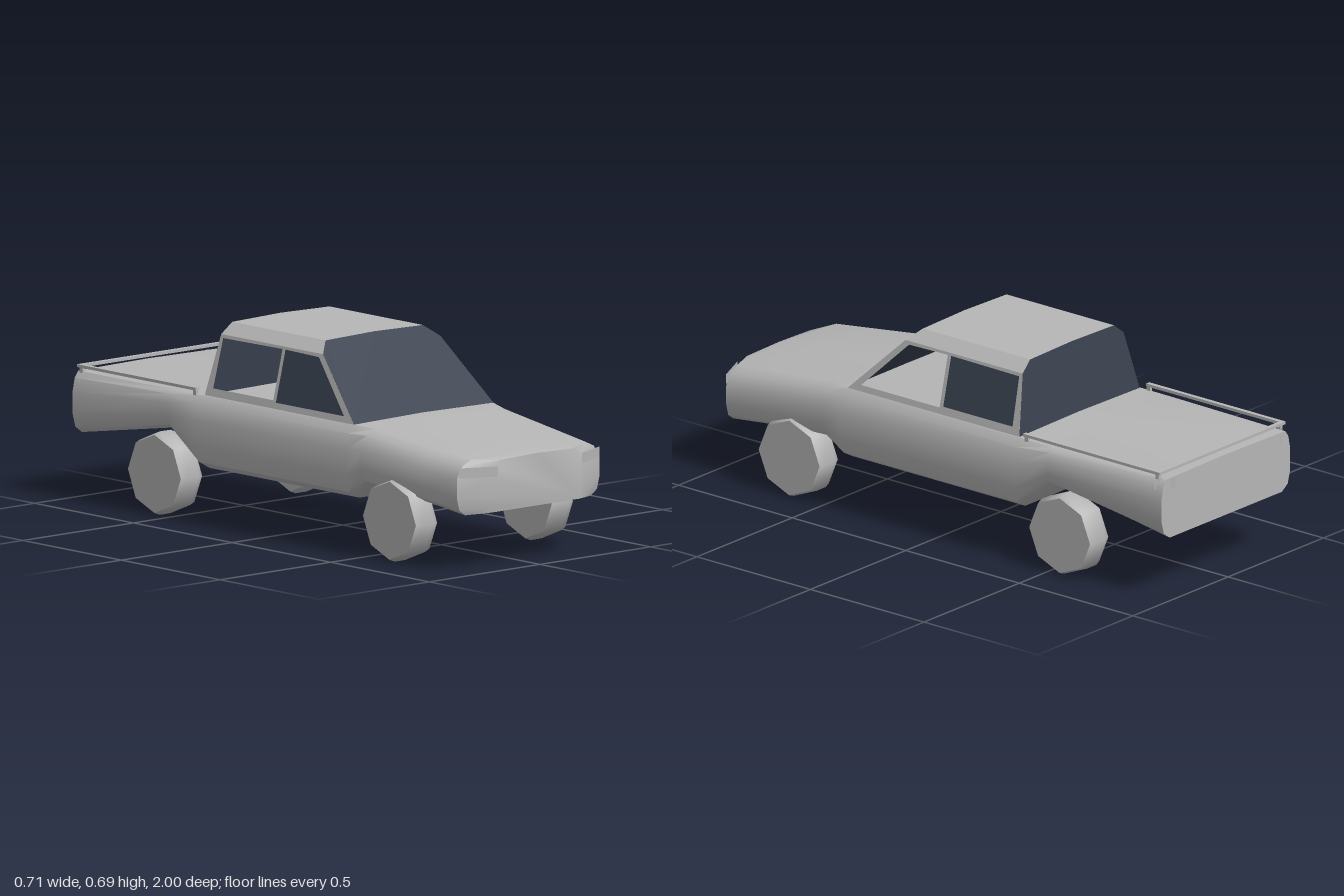
import * as THREE from 'three';
import { toCreasedNormals } from 'three/addons/utils/BufferGeometryUtils.js';

const paint = new THREE.MeshStandardMaterial({ color: 0xb6b6b6, side: THREE.DoubleSide });
paint.name = 'grey paint';
const glass = new THREE.MeshStandardMaterial({ color: 0x3a4250, side: THREE.DoubleSide });
glass.name = 'dark glass';

function add(parent, name, geometry, material = paint) {
  const mesh = new THREE.Mesh(geometry, material);
  mesh.name = name;
  parent.add(mesh);
  return mesh;
}

// Flat convex panel from its corners, counter-clockwise from outside
function panel(corners) {
  const g = new THREE.BufferGeometry();
  g.setAttribute('position', new THREE.Float32BufferAttribute(corners.flat(), 3));
  const index = [];
  for (let i = 1; i < corners.length - 1; i++) index.push(0, i, i + 1);
  g.setIndex(index);
  const flat = g.toNonIndexed();
  flat.computeVertexNormals();
  return flat;
}

// Closed cross-section of the body, counter-clockwise from the front
function section([z, yb, yt, wide, top, bottom]) {
  const h = yt - yb;
  const half = [
    [bottom, yb],
    [bottom + 0.7 * (wide - bottom), yb + 0.1 * h],
    [wide, yb + 0.32 * h],
    [wide, yb + 0.66 * h],
    [top + 0.62 * (wide - top), yb + 0.88 * h],
    [top, yt - 0.004],
  ];
  const left = half.map(([x, y]) => [x, y, z]);
  const right = half.map(([x, y]) => [-x, y, z]).reverse();
  return [...left, [0, yt, z], ...right];
}

function bodyGeometry() {
  // z, bottom, top, widest, top and bottom half widths
  const rings = [
    [0.98, 0.2, 0.38, 0.22, 0.165, 0.2],
    [0.94, 0.195, 0.388, 0.322, 0.255, 0.285],
    [0.78, 0.215, 0.404, 0.338, 0.27, 0.29],
    [0.49, 0.238, 0.436, 0.353, 0.29, 0.29],
    [0.41, 0.185, 0.442, 0.356, 0.315, 0.29],
    [-0.35, 0.185, 0.442, 0.356, 0.32, 0.29],
    [-0.5, 0.305, 0.441, 0.354, 0.32, 0.3],
    [-0.99, 0.222, 0.439, 0.338, 0.312, 0.295],
  ].map(section);
  const n = rings[0].length;
  const last = (rings.length - 1) * n;
  const index = [];
  for (let i = 0; i < rings.length - 1; i++) {
    for (let j = 0; j < n; j++) {
      const a = i * n + j, b = i * n + (j + 1) % n;
      index.push(a, a + n, b + n, a, b + n, b);
    }
  }
  for (let j = 1; j < n - 1; j++) {
    index.push(0, j, j + 1, last, last + j + 1, last + j);
  }
  const g = new THREE.BufferGeometry();
  g.setAttribute('position', new THREE.Float32BufferAttribute(rings.flat(2), 3));
  g.setIndex(index);
  return toCreasedNormals(g, 0.7);
}

// Lean a flat (z, y) shape onto the sloping side of the cab
function sideGeometry(shape, side) {
  const g = new THREE.ShapeGeometry(shape);
  const p = g.attributes.position;
  for (let i = 0; i < p.count; i++) {
    const z = p.getX(i), y = p.getY(i);
    p.setXYZ(i, side * (0.315 - (y - 0.44) * 0.244), y, z);
  }
  if (side > 0) g.index.array.reverse();
  g.computeVertexNormals();
  return g;
}

const outline = (pts) => pts.map(([z, y]) => new THREE.Vector2(z, y));

function buildCab() {
  const cab = new THREE.Group();
  cab.name = 'cab';
  // Windscreen and rear window: base, shoulder and roof corners
  const end = (zBase, zShoulder, zTop) => [
    [-0.315, 0.438, zBase], [0.315, 0.438, zBase], [0.265, 0.645, zShoulder],
    [0.22, 0.682, zTop], [0, 0.687, zTop], [-0.22, 0.682, zTop], [-0.265, 0.645, zShoulder],
  ];
  const front = end(0.41, 0.198, 0.16);
  const back = end(-0.345, -0.318, -0.313);
  add(cab, 'windscreen', panel(front), glass);
  add(cab, 'rear window', panel([...back].reverse()), glass);

  // Roof strips running from the windscreen to the rear window
  for (let i = 2; i < 6; i++) {
    add(cab, i === 2 || i === 5 ? 'roof edge' : 'roof',
      panel([front[i], back[i], back[i + 1], front[i + 1]]));
  }

  // Side frames with open windows
  const frontWindow = [[0.355, 0.459], [0.18, 0.633], [0.01, 0.636], [0.01, 0.459]];
  const rearWindow = [[-0.005, 0.465], [-0.005, 0.636], [-0.305, 0.633], [-0.31, 0.465]];
  for (const side of [1, -1]) {
    const frame = new THREE.Shape(outline([[0.41, 0.438], [0.198, 0.645], [-0.318, 0.645], [-0.345, 0.438]]));
    frame.holes.push(new THREE.Path(outline(frontWindow)), new THREE.Path(outline(rearWindow)));
    add(cab, 'side frame', sideGeometry(frame, side));
  }
  // One pane per side, the other window is left open
  add(cab, 'rear side pane', sideGeometry(new THREE.Shape(outline(rearWindow)), 1), glass);
  add(cab, 'front side pane', sideGeometry(new THREE.Shape(outline(frontWindow)), -1), glass);
  return cab;
}

function box(parent, name, size, at) {
  add(parent, name, new THREE.BoxGeometry(...size)).position.set(...at);
}

export function createModel() {
  const truck = new THREE.Group();
  truck.name = 'pickup truck';
  add(truck, 'body', bodyGeometry());
  truck.add(buildCab());

  // Eight-sided wheels with a slightly crowned tread
  const profile = [[0, -0.048], [0.134, -0.048], [0.143, -0.024], [0.143, 0.024], [0.134, 0.048], [0, 0.048]];
  const wheel = toCreasedNormals(
    new THREE.LatheGeometry(profile.map(([r, y]) => new THREE.Vector2(r, y)), 8), 0.9);
  wheel.rotateZ(-Math.PI / 2);

  const rails = new THREE.Group();
  rails.name = 'bed rails';
  truck.add(rails);
  for (const s of [1, -1]) {
    for (const z of [0.635, -0.556]) {
      add(truck, z > 0 ? 'front wheel' : 'rear wheel', wheel).position.set(s * 0.307, 0.144, z);
    }
    // Swept-back lamp plates on the corners
    const lamp = (x0, z0, x1, z1, y0, y1) => panel([
      [s * x0, y0, z0], [s * x1, y0, z1], [s * x1, y1, z1], [s * x0, y1, z0]]);
    add(truck, 'headlight', lamp(0.19, 1.0, 0.318, 0.945, 0.325, 0.36));
    add(truck, 'tail light', lamp(0.275, -1.0, 0.335, -0.958, 0.398, 0.435));
    // Side rail with its posts
    box(rails, 'side rail', [0.016, 0.01, 0.6], [s * 0.323, 0.456, -0.675]);
    for (const z of [-0.385, -0.96]) box(rails, 'rail post', [0.012, 0.022, 0.014], [s * 0.32, 0.444, z]);
  }
  box(rails, 'rear rail', [0.66, 0.01, 0.016], [0, 0.456, -0.967]);
  return truck;
}
